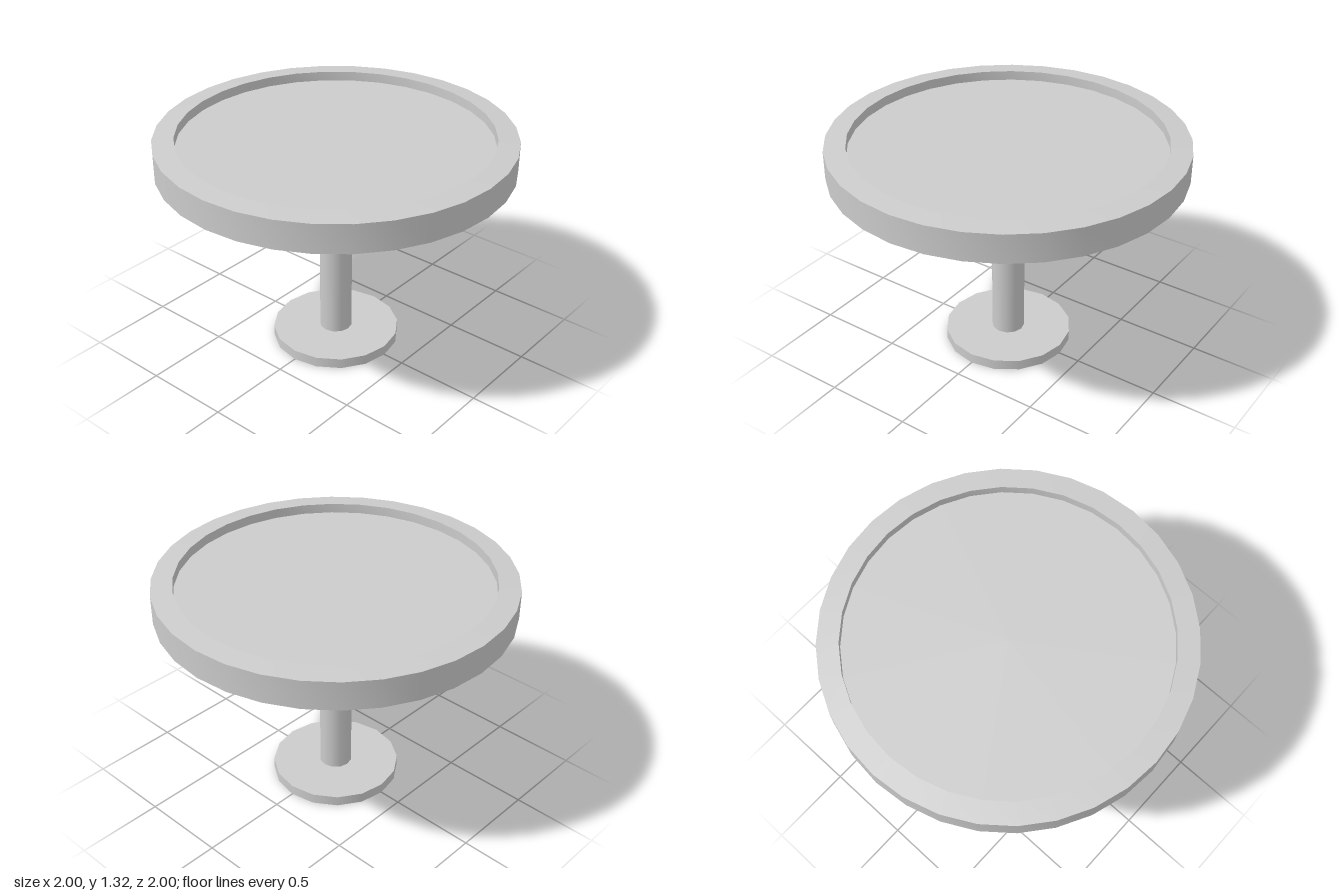
import * as THREE from 'three';
import { toCreasedNormals } from 'three/addons/utils/BufferGeometryUtils.js';

const material = new THREE.MeshStandardMaterial({ color: 0xcccccc });

export function createModel() {
  const group = new THREE.Group();
  group.name = 'pedestalTable';

  const add = (name, geometry) => {
    const mesh = new THREE.Mesh(geometry, material);
    mesh.name = name;
    group.add(mesh);
  };

  // Upright cylinder between two heights
  const disc = (name, radius, bottom, top, sides) => {
    const geometry = new THREE.CylinderGeometry(radius, radius, top - bottom, sides);
    geometry.translate(0, (bottom + top) / 2, 0);
    add(name, geometry);
  };

  // Foot, column and the collar under the top
  disc('base', 0.372, 0, 0.061, 16);
  disc('column', 0.095, 0.061, 1.024, 12);
  disc('collar', 0.313, 1.024, 1.15, 16);

  // Round top: raised rim, slightly higher inside, around a recessed surface
  const profile = [
    [0, 1.15], [1, 1.15], [1, 1.314], [0.88, 1.323], [0.88, 1.267], [0, 1.267],
  ].map(([r, y]) => new THREE.Vector2(r, y));
  add('tableTop', toCreasedNormals(new THREE.LatheGeometry(profile, 32), Math.PI / 6));

  return group;
}
